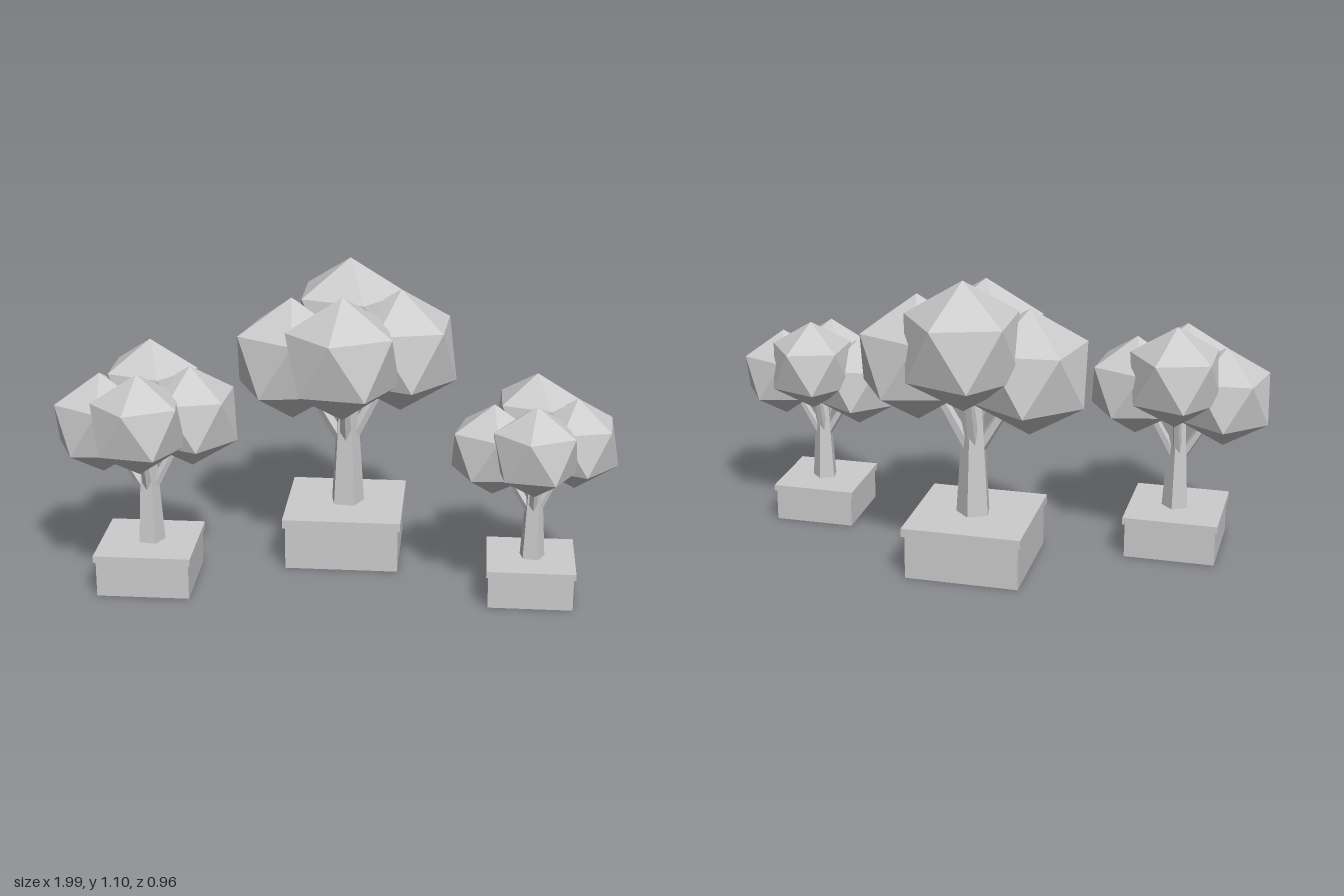
import * as THREE from 'three';

const stone = new THREE.MeshStandardMaterial({ color: 0xcccccc, flatShading: true });
stone.name = 'pale grey';

const rad = THREE.MathUtils.degToRad;

// Foliage clumps: offset from the trunk axis, radius and yaw in degrees
const CLUMPS = [
  { name: 'backFoliage', pos: [0.006, 0.865, -0.142], r: 0.235, yaw: 0 },
  { name: 'frontFoliage', pos: [0, 0.8, 0.156], r: 0.23, yaw: 27 },
  { name: 'leftFoliage', pos: [0.2, 0.78, -0.036], r: 0.232, yaw: 40 },
  { name: 'rightFoliage', pos: [-0.2, 0.747, -0.01], r: 0.232, yaw: 12 },
];

// Low-poly ball standing on a vertex
const ballGeometry = new THREE.IcosahedronGeometry(1, 0);
ballGeometry.rotateZ(-Math.atan(2 / (1 + Math.sqrt(5))));

function add(group, geometry, name, x = 0, y = 0, z = 0) {
  const mesh = new THREE.Mesh(geometry, stone);
  mesh.name = name;
  mesh.position.set(x, y, z);
  group.add(mesh);
  return mesh;
}

// Tapered five-sided limb between two points
function limb(group, name, from, to, r0, r1) {
  const dir = to.clone().sub(from);
  const mesh = add(group, new THREE.CylinderGeometry(r1, r0, dir.length(), 5), name);
  mesh.position.copy(from).addScaledVector(dir, 0.5);
  mesh.quaternion.setFromUnitVectors(new THREE.Vector3(0, 1, 0), dir.normalize());
  return mesh;
}

function pottedTree(name, x, z, scale) {
  const tree = new THREE.Group();
  tree.name = name;

  // Square planter with an overhanging rim
  add(tree, new THREE.BoxGeometry(0.415, 0.163, 0.415), 'planterBox', 0, 0.0815, 0);
  add(tree, new THREE.BoxGeometry(0.435, 0.032, 0.435), 'planterRim', 0, 0.179, 0);

  // Trunk
  const trunk = add(tree, new THREE.CylinderGeometry(0.037, 0.065, 0.43, 5), 'trunk', 0.005, 0.405, 0);
  trunk.rotation.y = rad(28);

  // Each branch rises from the trunk into its own clump
  const fork = new THREE.Vector3(0.004, 0.41, 0);
  for (const c of CLUMPS) {
    const centre = new THREE.Vector3(...c.pos);
    limb(tree, 'branch', fork, fork.clone().lerp(centre, 0.85), 0.024, 0.016);
    const ball = add(tree, ballGeometry, c.name, ...c.pos);
    ball.scale.setScalar(c.r);
    ball.rotation.y = -rad(c.yaw);
  }

  tree.position.set(x, 0, z);
  tree.scale.setScalar(scale);
  return tree;
}

export function createModel() {
  const model = new THREE.Group();
  model.name = 'pottedTrees';
  model.add(
    pottedTree('largeTree', 0.016, -0.137, 1),
    pottedTree('mediumTree', -0.67, 0.197, 0.8),
    pottedTree('smallTree', 0.706, 0.196, 0.72),
  );
  return model;
}
